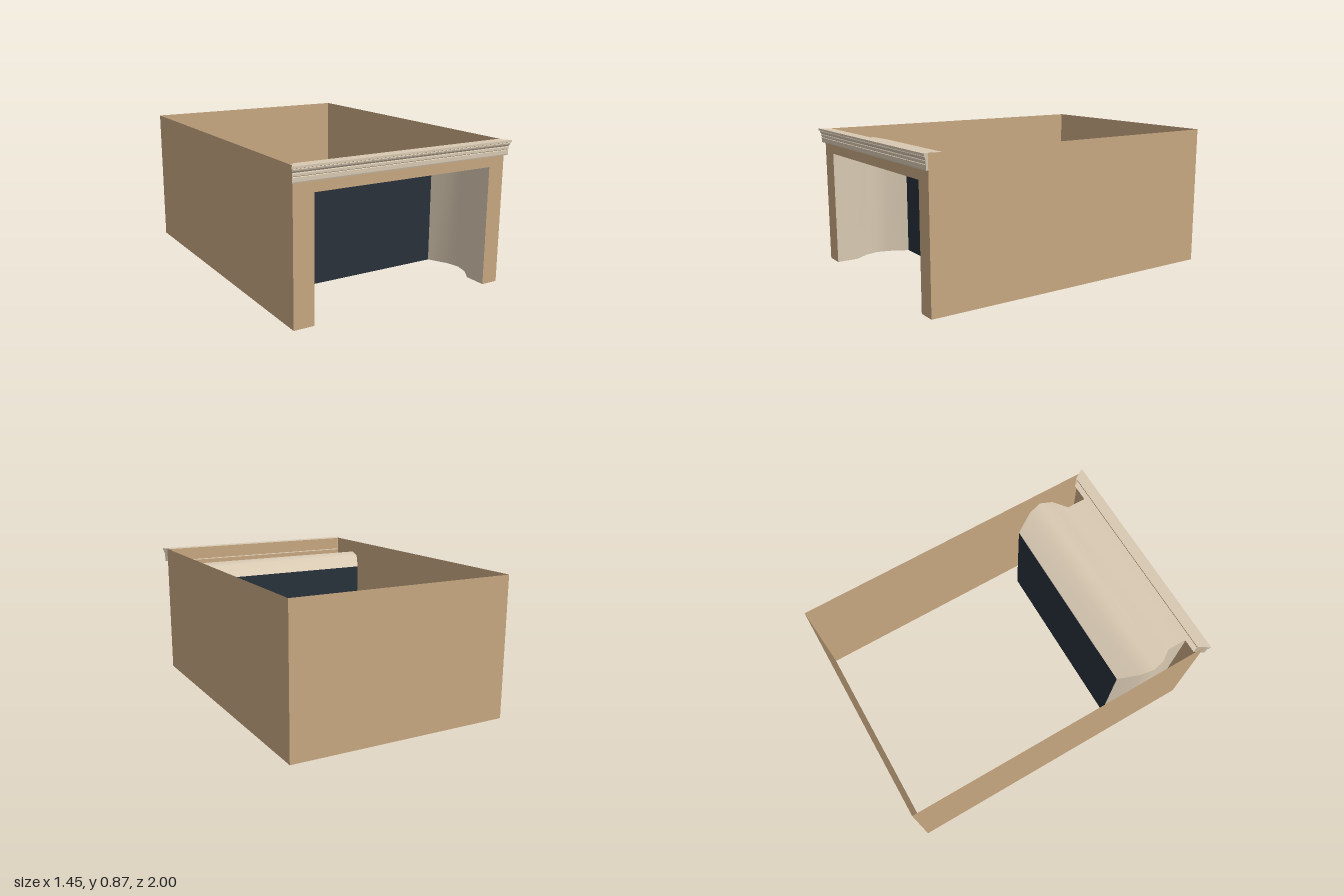
import * as THREE from 'three';

const material = (color) => new THREE.MeshStandardMaterial({ color, side: THREE.DoubleSide });
const wood = material(0xc8a882);
const cream = material(0xd8c9b2);
const dark = material(0x28313a);

const HALF = 0.7, HEIGHT = 0.87, FRONT = 0.965, BACK = -1;
const LEFT = -0.575, RIGHT = 0.593, HEAD = 0.72;

function addMesh(group, name, geometry, mat) {
  const mesh = new THREE.Mesh(geometry, mat);
  mesh.name = name;
  group.add(mesh);
  return mesh;
}

// Surface joining matching points of two edges
function strip(edgeA, edgeB, smooth) {
  const positions = [], index = [];
  edgeA.forEach((a, i) => {
    positions.push(...a, ...edgeB[i]);
    if (i) {
      const k = 2 * i;
      index.push(k - 2, k - 1, k + 1, k - 2, k + 1, k);
    }
  });
  const geometry = new THREE.BufferGeometry();
  geometry.setAttribute('position', new THREE.Float32BufferAttribute(positions, 3));
  geometry.setIndex(index);
  const result = smooth ? geometry : geometry.toNonIndexed();
  result.computeVertexNormals();
  return result;
}

export function createModel() {
  const model = new THREE.Group();
  model.name = 'fireplaceSurround';

  // Thin outer walls, open above and below
  const depth = FRONT - BACK;
  for (const side of [-1, 1]) {
    const wall = addMesh(model, side > 0 ? 'leftWall' : 'rightWall', new THREE.PlaneGeometry(depth, HEIGHT), wood);
    wall.rotation.y = side * Math.PI / 2;
    wall.position.set(side * HALF, HEIGHT / 2, (FRONT + BACK) / 2);
  }
  const backWall = addMesh(model, 'backWall', new THREE.PlaneGeometry(2 * HALF, HEIGHT), wood);
  backWall.rotation.y = Math.PI;
  backWall.position.set(0, HEIGHT / 2, BACK);

  // Front wall cut around the opening
  const outline = [
    [-HALF, 0], [LEFT, 0], [LEFT, HEAD], [RIGHT, HEAD],
    [RIGHT, 0], [HALF, 0], [HALF, HEIGHT], [-HALF, HEIGHT],
  ].map(([x, y]) => new THREE.Vector2(x, y));
  addMesh(model, 'frontWall', new THREE.ShapeGeometry(new THREE.Shape(outline)), wood).position.z = FRONT;

  // Opening liner: [z, outward bulge], mitred at the upper corners
  const bulge = [[0.965, 0], [0.83, 0], [0.74, 0.058], [0.655, 0.08], [0.57, 0.062], [0.45, 0]];
  const edge = (fn) => bulge.map(([z, d]) => [...fn(d), z]);
  const footR = edge((d) => [LEFT - d, 0]);
  const cornerR = edge((d) => [LEFT - d, HEAD + d]);
  const cornerL = edge((d) => [RIGHT + d, HEAD + d]);
  const footL = edge((d) => [RIGHT + d, 0]);
  addMesh(model, 'rightJamb', strip(footR, cornerR, true), cream);
  addMesh(model, 'headLiner', strip(cornerR, cornerL, true), cream);
  addMesh(model, 'leftJamb', strip(cornerL, footL, true), cream);

  // Dark panel closing the back of the opening
  const panel = addMesh(model, 'openingPanel', new THREE.PlaneGeometry(RIGHT - LEFT, HEAD), dark);
  panel.position.set((LEFT + RIGHT) / 2, HEAD / 2, 0.45);

  // Crown moulding: open-backed [z, y] profile with mitred ends
  const crown = [
    [0.93, 0.783], [0.983, 0.783], [0.985, 0.79], [0.985, 0.812], [0.981, 0.815],
    [0.987, 0.819], [0.987, 0.832], [0.984, 0.836], [0.991, 0.845], [0.994, 0.854],
    [0.992, 0.857], [1, 0.86], [1, 0.872], [0.93, 0.872],
  ];
  const reach = (z) => HALF + 0.65 * (z - FRONT);
  const end = (side) => crown.map(([z, y]) => [side * reach(z), y, z]);
  const moulding = new THREE.Group();
  moulding.name = 'crownMoulding';
  addMesh(moulding, 'crownProfile', strip(end(-1), end(1), false), cream);

  // End caps: the profile drawn flat, then leaned onto the mitre
  const section = new THREE.Shape(crown.map(([z, y]) => new THREE.Vector2(z, y)));
  for (const side of [-1, 1]) {
    const cap = new THREE.ShapeGeometry(section);
    const p = cap.attributes.position;
    for (let i = 0; i < p.count; i++) {
      const z = p.getX(i), y = p.getY(i);
      p.setXYZ(i, side * reach(z), y, z);
    }
    if (side > 0) cap.setIndex([...cap.index.array].reverse());
    cap.computeVertexNormals();
    addMesh(moulding, side > 0 ? 'crownLeftEnd' : 'crownRightEnd', cap, cream);
  }
  model.add(moulding);

  return model;
}
